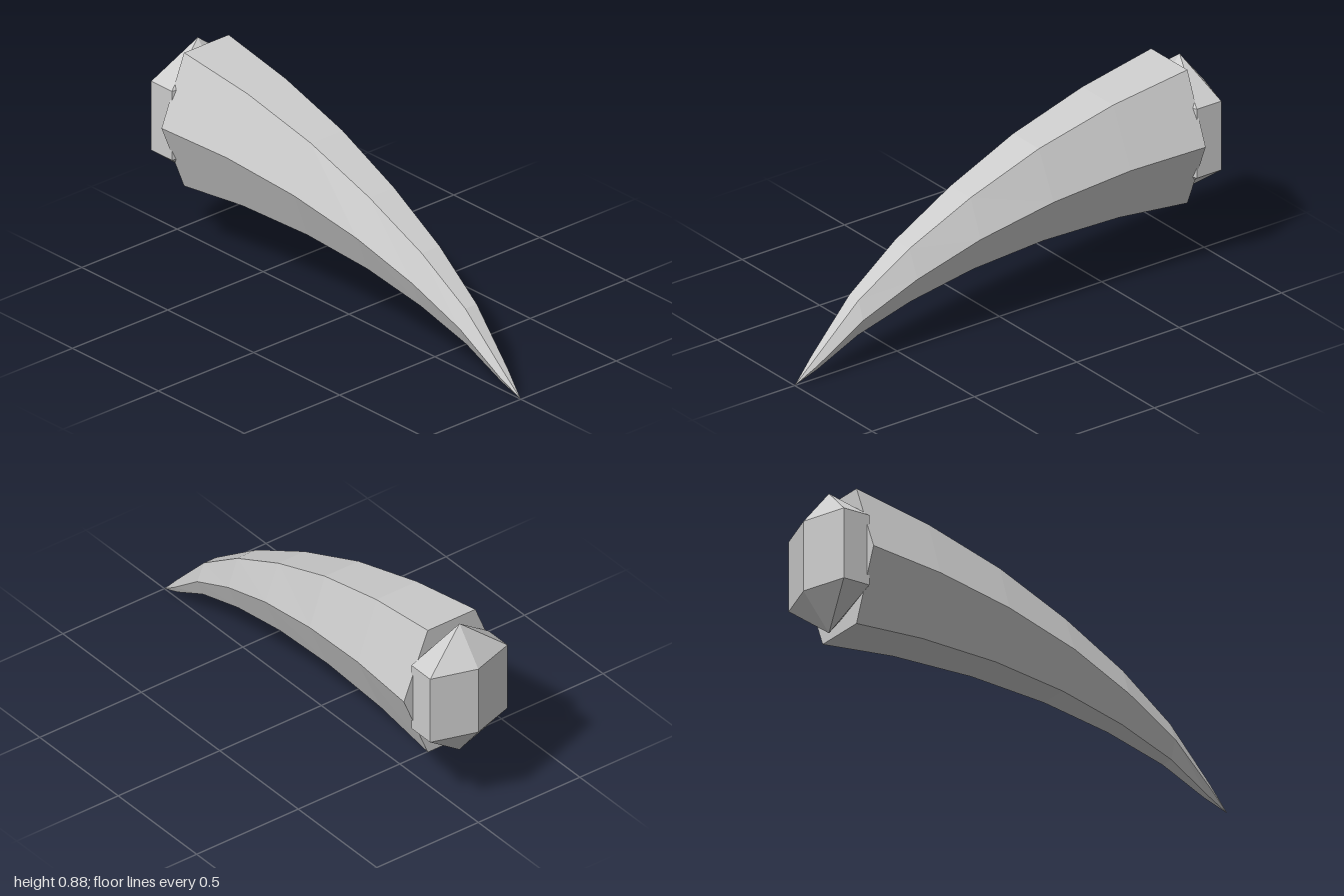
import * as THREE from 'three';

// Horn stations: top [x, y], ridge [x, y], bottom [x, y], ridge half width, edge half width
const STATIONS = [
  [-0.83, 0.87, -0.83, 0.58, -0.83, 0.29, 0.235, 0.117],
  [-0.48, 0.815, -0.49, 0.566, -0.51, 0.317, 0.2, 0.1],
  [-0.13, 0.724, -0.14, 0.52, -0.15, 0.317, 0.165, 0.083],
  [0.19, 0.6, 0.19, 0.443, 0.18, 0.285, 0.13, 0.065],
  [0.475, 0.457, 0.472, 0.34, 0.47, 0.225, 0.094, 0.047],
  [0.71, 0.297, 0.712, 0.22, 0.715, 0.145, 0.061, 0.03],
  [0.91, 0.095, 0.905, 0.07, 0.9, 0.045, 0.026, 0.013],
  [1, 0, 1, 0, 1, 0, 0, 0],
];

// Six-sided loft along the stations, closed at the wide end
function hornGeometry() {
  const rings = STATIONS.map(([tx, ty, mx, my, bx, by, w, h]) => [
    [tx, ty, -h], [tx, ty, h], [mx, my, w], [bx, by, h], [bx, by, -h], [mx, my, -w],
  ]);
  const positions = [];
  const triangle = (a, b, c) => positions.push(...a, ...b, ...c);
  for (let i = 0; i < rings.length - 1; i++) {
    for (let j = 0; j < 6; j++) {
      const k = (j + 1) % 6;
      triangle(rings[i][j], rings[i][k], rings[i + 1][k]);
      if (i < rings.length - 2) triangle(rings[i][j], rings[i + 1][k], rings[i + 1][j]);
    }
  }
  for (let j = 1; j < 5; j++) triangle(rings[0][0], rings[0][j + 1], rings[0][j]);
  const geometry = new THREE.BufferGeometry();
  geometry.setAttribute('position', new THREE.Float32BufferAttribute(positions, 3));
  geometry.computeVertexNormals();
  return geometry;
}

// Six-sided crystal with pointed ends, flattened along x
function crystalGeometry() {
  const profile = [[0, 0.28], [1, 0.43], [1, 0.73], [0, 0.88]].map(([r, y]) => new THREE.Vector2(r, y));
  return new THREE.LatheGeometry(profile, 6, Math.PI / 2).scale(0.12, 1, 0.22).translate(-0.88, 0, 0);
}

export function createModel() {
  const group = new THREE.Group();
  group.name = 'curvedHorn';
  const grey = new THREE.MeshStandardMaterial({ color: 0xcccccc });
  grey.name = 'light grey';
  grey.flatShading = true;

  const horn = new THREE.Mesh(hornGeometry(), grey);
  horn.name = 'horn';
  const crystal = new THREE.Mesh(crystalGeometry(), grey);
  crystal.name = 'baseCrystal';
  group.add(horn, crystal);
  return group;
}
